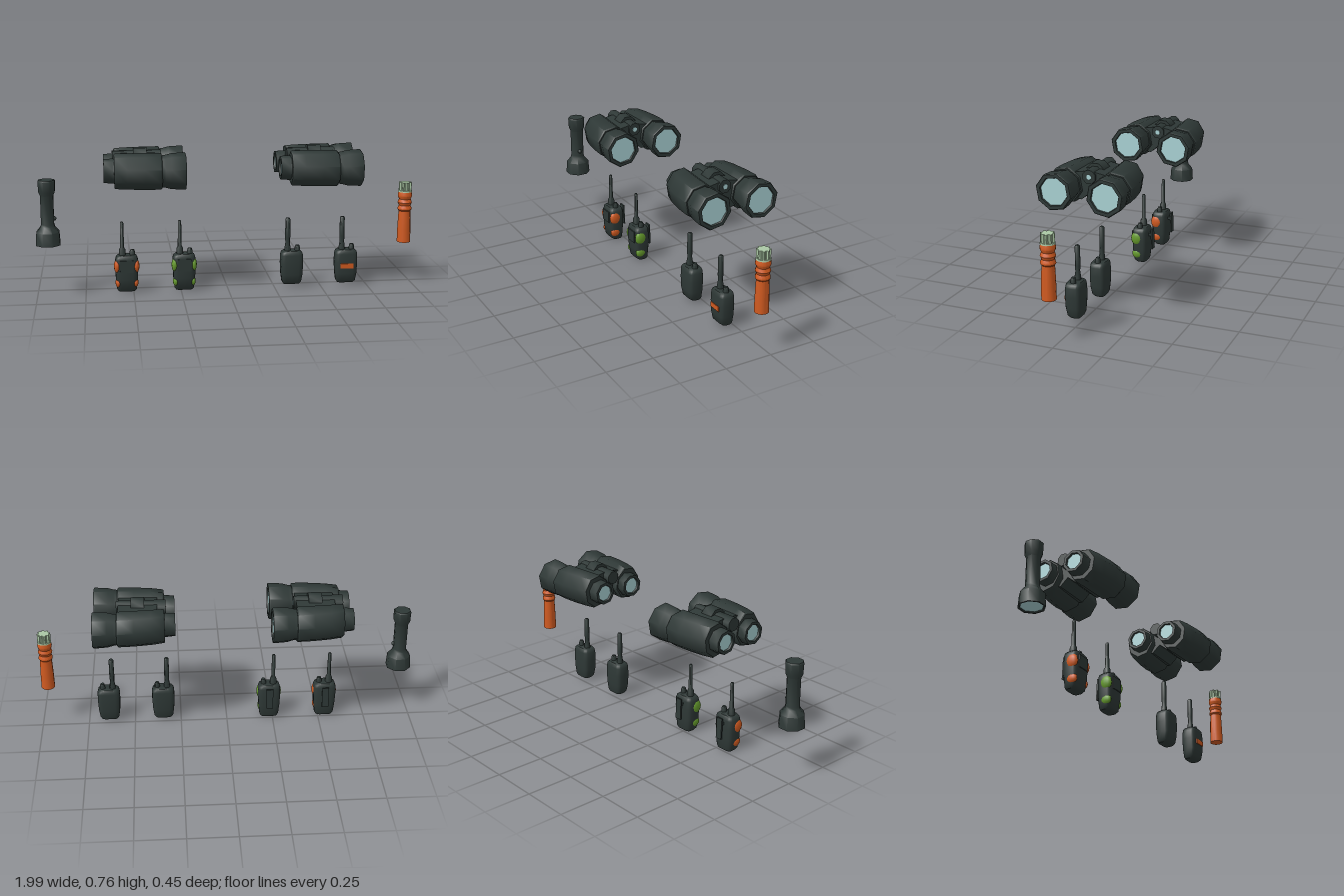
import * as THREE from 'three';
import { toCreasedNormals } from 'three/addons/utils/BufferGeometryUtils.js';

const paint = (name, color) => {
  const m = new THREE.MeshStandardMaterial({ color });
  m.name = name;
  return m;
};

export function createModel() {
  const dark = paint('dark rubber', 0x2e3836);
  const orange = paint('orange plastic', 0xd05a20);
  const green = paint('green plastic', 0x659a2c);
  const glass = paint('pale blue glass', 0xa9d2d4);
  const pale = paint('pale green cap', 0xabc8a5);
  const model = new THREE.Group();

  const add = (parent, name, geo, mat, x = 0, y = 0, z = 0) => {
    const mesh = new THREE.Mesh(geo, mat);
    mesh.name = name;
    mesh.position.set(x, y, z);
    parent.add(mesh);
    return mesh;
  };
  const group = (name, x, y, z) => {
    const g = new THREE.Group();
    g.name = name;
    g.position.set(x, y, z);
    model.add(g);
    return g;
  };

  // Skin a list of equal-sized rings and close both ends
  const loft = (rings, crease = 0.85) => {
    const n = rings[0].length, pos = [], idx = [];
    rings.forEach(r => r.forEach(p => pos.push(...p)));
    for (let i = 0; i < rings.length - 1; i++)
      for (let j = 0; j < n; j++) {
        const a = i * n + j, b = i * n + (j + 1) % n;
        idx.push(a, b, b + n, a, b + n, a + n);
      }
    const last = (rings.length - 1) * n;
    for (let j = 1; j < n - 1; j++)
      idx.push(0, j + 1, j, last, last + j, last + j + 1);
    const g = new THREE.BufferGeometry();
    g.setAttribute('position', new THREE.Float32BufferAttribute(pos, 3));
    g.setIndex(idx);
    return toCreasedNormals(g, crease);
  };
  const lathe = (pts, sides, crease = 0.85) => toCreasedNormals(
    new THREE.LatheGeometry(pts.map(p => new THREE.Vector2(...p)), sides), crease);

  // Flashlight, lens facing down
  const torch = group('flashlight', -0.938, 0, 0.07);
  add(torch, 'flashlightBody', lathe([[0, 0.28], [0.056, 0.28], [0.06, 0.27], [0.068, 0.27], [0.063, 0.338],
    [0.04, 0.366], [0.036, 0.38], [0.036, 0.53], [0.045, 0.55], [0.047, 0.605], [0.043, 0.611], [0, 0.611]], 8),
    dark).rotation.y = Math.PI / 8;
  const torchLens = add(torch, 'flashlightLens', new THREE.CircleGeometry(0.057, 8), glass, 0, 0.276, 0);
  torchLens.rotation.set(Math.PI / 2, 0, Math.PI / 8);
  add(torch, 'flashlightSwitch', new THREE.SphereGeometry(0.012, 8, 6), dark, 0.034, 0.408, 0);

  // Eight-sided ring about the x axis
  const ringX = (x, side, zc, ry, rz) => Array.from({ length: 8 }, (_, k) => {
    const t = k * Math.PI / 4 - side * 0.22;
    return [x, ry * Math.cos(t), side * zc + rz * Math.sin(t)];
  });

  // Binoculars, objectives facing +x
  for (const xc of [-0.435, 0.48]) {
    const bino = group('binoculars', xc, 0.655, 0);
    for (const s of [1, -1]) {
      const tube = rows => loft(rows.map(([x, zc, ry, rz = ry]) => ringX(x, s, zc, ry, rz)));
      add(bino, 'eyepiece', tube([[-0.195, 0.093, 0.042], [-0.21, 0.093, 0.046], [-0.21, 0.093, 0.061],
        [-0.165, 0.095, 0.064], [-0.15, 0.1, 0.062]]), dark);
      add(bino, 'barrel', tube([[-0.156, 0.106, 0.086, 0.078], [-0.15, 0.107, 0.091, 0.082],
        [-0.09, 0.117, 0.093, 0.089], [0, 0.126, 0.094, 0.094], [0.08, 0.13, 0.094, 0.094],
        [0.087, 0.13, 0.088, 0.088]]), dark);
      add(bino, 'objective', tube([[0.08, 0.13, 0.081], [0.105, 0.13, 0.084], [0.135, 0.131, 0.092],
        [0.205, 0.132, 0.096], [0.21, 0.132, 0.092], [0.21, 0.132, 0.074], [0.198, 0.132, 0.07]]), dark);
      const lens = (name, x, zc, r) => add(bino, name, loft(
        [ringX(x - 0.002, s, zc, r, r), ringX(x + 0.002, s, zc, r, r)]), glass);
      lens('frontLens', 0.2, 0.132, 0.071);
      lens('rearLens', -0.198, 0.093, 0.044);
    }
    // Bridge with a notched underside
    const half = [[0, -0.025], [0.045, -0.064], [0.11, -0.05], [0.11, 0.065], [0.03, 0.08]];
    const outline = [...half, ...half.slice(1).reverse().map(([x, y]) => [-x, y])];
    const bridge = add(bino, 'bridge', new THREE.ExtrudeGeometry(
      new THREE.Shape(outline.map(p => new THREE.Vector2(...p))), { depth: 0.2, bevelEnabled: false }),
      dark, -0.12, 0, 0);
    bridge.rotation.y = Math.PI / 2;
    // Hinge rod, focus knob and end cap
    const rod = (name, r, len, x, mat) => {
      const m = add(bino, name, toCreasedNormals(
        new THREE.CylinderGeometry(r, r, len, 8).rotateY(Math.PI / 8), 0.85), mat, x, 0.056, 0);
      m.rotation.z = Math.PI / 2;
    };
    rod('hinge', 0.036, 0.255, -0.037, dark);
    rod('focusKnob', 0.052, 0.07, -0.02, dark);
    rod('hingeCap', 0.013, 0.006, 0.09, glass);
  }

  // Rounded rectangular ring about the y axis
  const ringY = (y, hw, z0, z1) => Array.from({ length: 20 }, (_, k) => {
    const t = k * Math.PI / 10, soft = v => Math.sign(v) * Math.sqrt(Math.abs(v));
    return [hw * soft(Math.cos(t)), y, (z0 + z1) / 2 - (z1 - z0) / 2 * soft(Math.sin(t))];
  });
  const radioBody = base => loft([[base, 0.044, 0.012, 0.064], [base + 0.012, 0.052, 0.007, 0.078],
    [0.07, 0.058, 0.003, 0.086], [0.13, 0.061, 0.001, 0.088], [0.175, 0.06, 0.004, 0.086],
    [0.19, 0.055, 0.006, 0.084], [0.198, 0.045, 0.012, 0.078]].map(r => ringY(...r)));

  const makeRadio = (x, base, antennaPts) => {
    const radio = group('radio', x, 0, 0);
    add(radio, 'radioBody', radioBody(base), dark);
    add(radio, 'antenna', lathe(antennaPts, 10), dark, -0.022, 0, 0.045);
    add(radio, 'volumeKnob', lathe([[0.015, 0.18], [0.014, 0.215], [0.01, 0.226], [0, 0.228]], 10),
      dark, 0.031, 0, 0.045);
    return radio;
  };

  // Radios with coloured side grips and a belt clip
  for (const [x, grip] of [[-0.535, orange], [-0.232, green]]) {
    const radio = makeRadio(x, 0.002, [[0.019, 0.18], [0.018, 0.225], [0.011, 0.238], [0.009, 0.37],
      [0.006, 0.376], [0, 0.376]]);
    for (const s of [1, -1]) {
      add(radio, 'upperGrip', new THREE.SphereGeometry(1, 12, 8), grip, s * 0.05, 0.14, 0.058)
        .scale.set(0.017, 0.038, 0.033);
      add(radio, 'lowerGrip', new THREE.SphereGeometry(1, 12, 8), grip, s * 0.046, 0.05, 0.056)
        .scale.set(0.0145, 0.026, 0.03);
    }
    add(radio, 'speakerPanel', new THREE.BoxGeometry(0.07, 0.065, 0.008), dark, 0, 0.142, 0.088);
    add(radio, 'beltClip', new THREE.BoxGeometry(0.036, 0.115, 0.008), dark, 0, 0.132, -0.017)
      .rotation.x = 0.04;
    add(radio, 'clipMount', new THREE.BoxGeometry(0.024, 0.016, 0.026), dark, 0, 0.156, -0.004);
  }

  // Plain radios, one with a front label plate
  for (const [x, plate] of [[0.344, false], [0.638, true]]) {
    const radio = makeRadio(x, 0.016, [[0.018, 0.18], [0.016, 0.215], [0.012, 0.24], [0.014, 0.27],
      [0.013, 0.37], [0.009, 0.376], [0, 0.376]]);
    if (plate) add(radio, 'frontPlate', new THREE.BoxGeometry(0.07, 0.026, 0.006), orange, 0, 0.113, 0.088);
  }

  // Signal flare with ribbed handle and fluted cap
  const flare = group('flare', 0.957, 0, 0.033);
  add(flare, 'flareHandle', lathe([[0, 0.227], [0.036, 0.227], [0.035, 0.3], [0.033, 0.36], [0.031, 0.398],
    [0.037, 0.405], [0.037, 0.413], [0.031, 0.428], [0.038, 0.444], [0.031, 0.462], [0.038, 0.478],
    [0.038, 0.486], [0.034, 0.503], [0, 0.503]], 14, 0.5), orange);
  add(flare, 'capRing', new THREE.CylinderGeometry(0.036, 0.037, 0.008, 14), pale, 0, 0.505, 0);
  const star = Array.from({ length: 32 }, (_, k) => {
    const t = (k + 0.5) * Math.PI / 16, r = k % 4 < 2 ? 0.035 : 0.027;
    return new THREE.Vector2(r * Math.cos(t), r * Math.sin(t));
  });
  add(flare, 'flutedCap', new THREE.ExtrudeGeometry(new THREE.Shape(star),
    { depth: 0.046, bevelEnabled: false }), pale, 0, 0.507, 0).rotation.x = -Math.PI / 2;

  return model;
}
